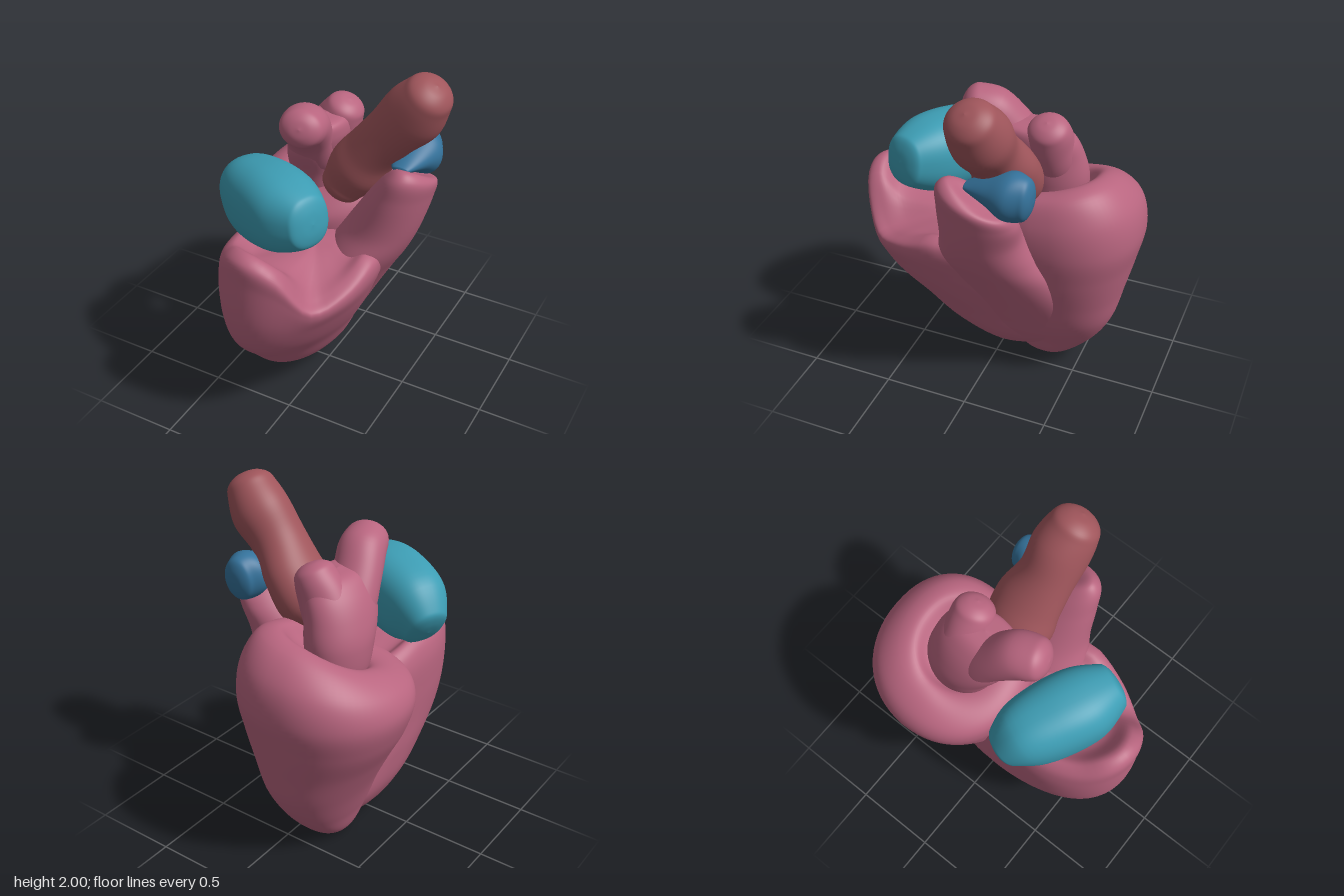
import * as THREE from 'three';

const V = (x, y, z) => new THREE.Vector3(x, y, z);
const pow = (v, p) => Math.sign(v) * Math.abs(v) ** p;
const COLUMNS = 64;

// Smooth skin through a list of rings (equal point counts), closed around
function skin(name, rings, color, steps) {
  const pos = [], idx = [];
  for (let j = 0; j < COLUMNS; j++) {
    const curve = new THREE.CatmullRomCurve3(rings.map(r => r[j]));
    for (let i = 0; i <= steps; i++) pos.push(...curve.getPoint(i / steps).toArray());
  }
  const row = steps + 1;
  for (let j = 0; j < COLUMNS; j++) {
    for (let i = 0; i < steps; i++) {
      const a = j * row + i, b = ((j + 1) % COLUMNS) * row + i;
      idx.push(a, a + 1, b, b, a + 1, b + 1);
    }
  }
  const geo = new THREE.BufferGeometry();
  geo.setAttribute('position', new THREE.Float32BufferAttribute(pos, 3));
  geo.setIndex(idx);
  geo.computeVertexNormals();
  const mesh = new THREE.Mesh(geo, new THREE.MeshStandardMaterial({ color }));
  mesh.name = name;
  return mesh;
}

const ring = fn => Array.from({ length: COLUMNS }, (_, j) => fn((j / COLUMNS) * Math.PI * 2));

// Upright body from level rings: [y, xMin, xMax, zMin, zMax, weight of rim height];
// front and back shift that half sideways as a share of the ring's half width
function chamber(name, rows, color, { rim = () => 0, front = 0, back = 0, square = 1 } = {}) {
  const rings = rows.map(([y, x0, x1, z0, z1, w = 0]) => ring(a => {
    const s = pow(Math.sin(a), square), skew = s > 0 ? front * s : -back * s;
    return V(
      (x0 + x1) / 2 + (pow(Math.cos(a), square) + skew) * (x1 - x0) / 2,
      y + w * rim(a),
      (z0 + z1) / 2 + s * (z1 - z0) / 2);
  }));
  return skin(name, rings, color, rows.length * 7);
}

// Round-ended limb along points: [x, y, z, radius along ref, radius across]
function limb(name, pts, color, { ref = V(0, 0, 1), square = 1, cap = 0.6 } = {}) {
  const centres = pts.map(p => V(p[0], p[1], p[2]));
  const last = pts.length - 1;
  const rings = [];
  const add = (i, theta, end) => {
    const t = centres[Math.min(i + 1, last)].clone().sub(centres[Math.max(i - 1, 0)]).normalize();
    const A = ref.clone().addScaledVector(t, -ref.dot(t)).normalize();
    const B = A.clone().cross(t);
    const [, , , ra, rb] = pts[i];
    const k = Math.cos(theta);
    const c = centres[i].clone().addScaledVector(t, end * Math.sin(theta) * cap * Math.min(ra, rb));
    rings.push(ring(a => c.clone()
      .addScaledVector(A, k * ra * pow(Math.cos(a), square))
      .addScaledVector(B, k * rb * pow(Math.sin(a), square))));
  };
  const angles = [Math.PI / 2, Math.PI / 3, Math.PI / 6];
  angles.forEach(th => add(0, th, -1));
  pts.forEach((_, i) => add(i, 0, 0));
  angles.slice().reverse().forEach(th => add(last, th, 1));
  return skin(name, rings, color, rings.length * 5);
}

export function createModel() {
  const model = new THREE.Group();
  const pink = 0xb8657f, teal = 0x3d9db4, red = 0x9f555b, blue = 0x35739c;

  // Rear chamber: tall pointed body with a hollow in its top
  model.add(chamber('leftVentricle', [
    [0.0, -0.16, -0.16, -0.3, -0.3],
    [0.03, -0.26, -0.07, -0.4, -0.16],
    [0.2, -0.335, 0.03, -0.575, -0.02],
    [0.4, -0.415, 0.13, -0.69, 0.03],
    [0.6, -0.51, 0.19, -0.74, 0.06],
    [0.8, -0.61, 0.24, -0.785, 0.08],
    [0.98, -0.65, 0.27, -0.82, 0.1, 0.2],
    [1.12, -0.61, 0.25, -0.78, 0.09, 0.7],
    [1.22, -0.5, 0.18, -0.66, 0.01, 1],
    [1.235, -0.41, 0.08, -0.56, -0.1, 1],
    [1.17, -0.34, 0.0, -0.48, -0.2, 0.8],
    [1.12, -0.18, -0.18, -0.36, -0.36],
  ], pink, { rim: a => 0.065 * Math.cos(a) - 0.095 * Math.sin(a), back: 0.06, square: 0.9 }));

  // Front chamber: bowl with a high front lip and a low saddle on one side
  const lip = [0.02, -0.06, -0.09, 0.13, 0.21, 0.2, 0.13, 0.09, 0.07, 0.03, 0, 0, 0, 0, 0.02, 0.03];
  const rimCurve = new THREE.CatmullRomCurve3([...lip, lip[0]].map((h, i) => V(i / 4, h, 0)));
  model.add(chamber('rightVentricle', [
    [0.03, -0.14, -0.14, 0.02, 0.02],
    [0.06, -0.25, -0.05, -0.22, 0.16],
    [0.2, -0.34, 0.07, -0.42, 0.4],
    [0.4, -0.385, 0.17, -0.43, 0.59],
    [0.57, -0.4, 0.26, -0.4, 0.735],
    [0.74, -0.41, 0.34, -0.36, 0.8, 0.15],
    [0.9, -0.405, 0.4, -0.32, 0.81, 0.7],
    [0.97, -0.37, 0.39, -0.28, 0.8, 1],
    [1.0, -0.32, 0.33, -0.22, 0.73, 1],
    [0.98, -0.24, 0.25, -0.12, 0.6, 0.45],
    [1.0, -0.1, 0.12, 0.02, 0.36, 0.1],
    [1.01, 0.01, 0.01, 0.17, 0.17],
  ], pink, { rim: a => rimCurve.getPoint(a / (Math.PI * 2)).y, front: -0.15 }));

  // Outflow neck: fills the side between both chambers and rises to a slanted top
  model.add(chamber('outflowNeck', [
    [0.06, -0.12, -0.12, -0.12, -0.12],
    [0.1, -0.22, -0.03, -0.34, 0.06],
    [0.25, -0.25, 0.08, -0.5, 0.16],
    [0.4, -0.2, 0.16, -0.52, 0.2],
    [0.6, -0.13, 0.265, -0.5, 0.22],
    [0.8, -0.06, 0.375, -0.43, 0.25],
    [0.95, 0.02, 0.46, -0.34, 0.24],
    [1.1, 0.12, 0.525, -0.28, 0.19],
    [1.3, 0.25, 0.58, -0.28, 0.165, 0.6],
    [1.41, 0.34, 0.595, -0.25, 0.14, 1],
    [1.45, 0.4, 0.55, -0.16, 0.08, 1],
    [1.44, 0.47, 0.47, -0.04, -0.04],
  ], pink, { rim: a => 0.07 * Math.sin(a) }));

  // Rear atrium: stem with two lobes
  const atrium = new THREE.Group();
  atrium.name = 'leftAtrium';
  atrium.add(
    chamber('atriumStem', [
      [1.0, -0.2, -0.2, -0.28, -0.28],
      [1.04, -0.33, -0.06, -0.44, -0.12],
      [1.25, -0.37, -0.02, -0.475, -0.04],
      [1.4, -0.34, 0.0, -0.45, 0.03],
      [1.52, -0.28, 0.02, -0.41, 0.05],
      [1.59, -0.21, 0.0, -0.35, 0.04],
      [1.61, -0.11, -0.11, -0.16, -0.16],
    ], pink),
    limb('frontLobe', [
      [-0.17, 1.35, -0.16, 0.15, 0.13],
      [-0.15, 1.52, -0.04, 0.14, 0.12],
      [-0.11, 1.635, 0.07, 0.135, 0.125],
      [-0.085, 1.665, 0.15, 0.125, 0.11],
    ], pink, { ref: V(1, 0, 0), cap: 0.75 }),
    limb('backLobe', [
      [-0.17, 1.36, -0.28, 0.15, 0.15],
      [-0.1, 1.5, -0.28, 0.13, 0.14],
      [-0.055, 1.59, -0.28, 0.12, 0.115],
    ], pink, { cap: 0.7 }),
  );
  model.add(atrium);

  // Front atrium: blocky rounded mass lying across the bowl
  model.add(limb('rightAtrium', [
    [-0.42, 1.19, 0.24, 0.155, 0.13],
    [-0.34, 1.25, 0.28, 0.22, 0.18],
    [-0.17, 1.29, 0.36, 0.235, 0.21],
    [0.0, 1.32, 0.44, 0.21, 0.2],
    [0.13, 1.34, 0.49, 0.155, 0.14],
  ], teal, { ref: V(0, 1, 0), square: 0.84, cap: 0.4 }));

  // Large leaning vessel
  model.add(limb('aorta', [
    [0.05, 1.25, -0.075, 0.14, 0.13],
    [0.115, 1.35, -0.115, 0.195, 0.165],
    [0.21, 1.49, -0.125, 0.19, 0.15],
    [0.33, 1.64, -0.1, 0.16, 0.15],
    [0.45, 1.78, -0.1, 0.165, 0.17],
    [0.52, 1.885, -0.085, 0.145, 0.14],
  ], red, { cap: 0.75 }));

  // Small wedge vessel behind the outflow neck
  model.add(limb('pulmonaryArtery', [
    [0.42, 1.47, -0.01, 0.05, 0.02],
    [0.42, 1.475, -0.14, 0.11, 0.08],
    [0.43, 1.465, -0.25, 0.13, 0.135],
    [0.43, 1.46, -0.32, 0.1, 0.13],
  ], blue, { ref: V(1, 0, 0) }));

  return model;
}
